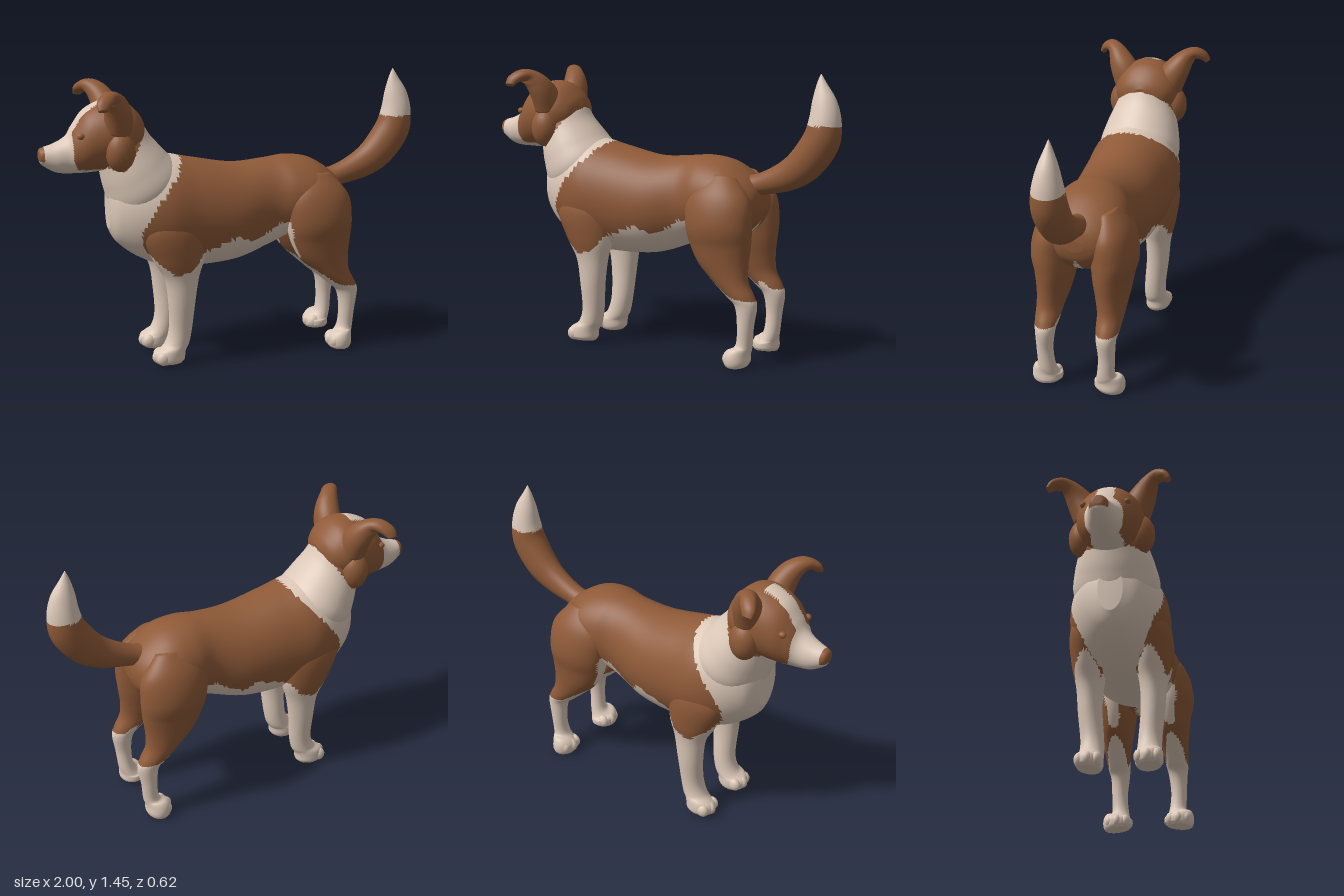
import * as THREE from 'three';

const brown = new THREE.MeshStandardMaterial({ color: 0x8f5a38 });
brown.name = 'brown coat';
const cream = new THREE.MeshStandardMaterial({ color: 0xdcc8b8 });
cream.name = 'cream coat';

// Piecewise-linear lookup through [key, value] points
function lerpTable(points, k) {
  if (k <= points[0][0]) return points[0][1];
  for (let i = 1; i < points.length; i++) {
    const [a, va] = points[i - 1], [b, vb] = points[i];
    if (k <= b) return va + (vb - va) * (k - a) / (b - a);
  }
  return points[points.length - 1][1];
}

// Smooth interpolation of section rows
function smoothRows(rows, steps) {
  const out = [];
  for (let i = 0; i < rows.length - 1; i++) {
    const p0 = rows[Math.max(i - 1, 0)], p1 = rows[i], p2 = rows[i + 1], p3 = rows[Math.min(i + 2, rows.length - 1)];
    for (let s = 0; s < steps; s++) {
      const t = s / steps;
      out.push(p1.map((b, k) => b + 0.5 * t * (p2[k] - p0[k] +
        t * (2 * p0[k] - 5 * b + 4 * p2[k] - p3[k] + t * (3 * (b - p2[k]) + p3[k] - p0[k])))));
    }
  }
  out.push(rows[rows.length - 1]);
  return out;
}

// Loft of elliptical sections [x, y, z, radiusU, radiusV, tilt of U in degrees]; isBrown picks the coat colour
function loft(name, rows, isBrown, steps = 7, sides = 40) {
  const rings = smoothRows(rows, steps);
  const centre = rings.map(r => new THREE.Vector3(r[0], r[1], r[2]));
  const pos = [];
  rings.forEach((r, i) => {
    const tangent = centre[Math.min(i + 1, rings.length - 1)].clone().sub(centre[Math.max(i - 1, 0)]);
    const a = r[5] * Math.PI / 180;
    const u = new THREE.Vector3(Math.cos(a), Math.sin(a), 0);
    const v = tangent.cross(u).normalize();
    for (let j = 0; j < sides; j++) {
      const q = j / sides * Math.PI * 2;
      const p = centre[i].clone().addScaledVector(u, Math.max(r[3], 0.002) * Math.cos(q))
        .addScaledVector(v, Math.max(r[4], 0.002) * Math.sin(q));
      pos.push(p.x, p.y, p.z);
    }
  });
  const first = pos.length / 3, last = first + 1, n = rings.length - 1;
  pos.push(...centre[0].toArray(), ...centre[n].toArray());
  const lists = [[], []];
  const tri = (...t) => {
    const m = [0, 1, 2].map(k => (pos[t[0] * 3 + k] + pos[t[1] * 3 + k] + pos[t[2] * 3 + k]) / 3);
    lists[isBrown(...m) ? 0 : 1].push(...t);
  };
  for (let j = 0; j < sides; j++) {
    const k = (j + 1) % sides;
    tri(first, k, j);
    for (let i = 0; i < n; i++) {
      const a = i * sides, b = a + sides;
      tri(a + j, a + k, b + k);
      tri(a + j, b + k, b + j);
    }
    tri(last, n * sides + j, n * sides + k);
  }
  const g = new THREE.BufferGeometry();
  g.setAttribute('position', new THREE.Float32BufferAttribute(pos, 3));
  g.setIndex(lists[0].concat(lists[1]));
  g.addGroup(0, lists[0].length, 0);
  g.addGroup(lists[0].length, lists[1].length, 1);
  g.computeVertexNormals();
  const mesh = new THREE.Mesh(g, [brown, cream]);
  mesh.name = name;
  return mesh;
}

function ball(name, material, x, y, z, rx, ry, rz) {
  const mesh = new THREE.Mesh(new THREE.SphereGeometry(1, 20, 14), material);
  mesh.position.set(x, y, z);
  mesh.scale.set(rx, ry, rz);
  mesh.name = name;
  return mesh;
}

// Section helpers: upright slices along x, level slices along y
const upright = ([x, bottom, top, half]) => [x, (bottom + top) / 2, 0, (top - bottom) / 2, half, 90];
const level = side => ([y, x0, x1, z0, z1]) => [(x0 + x1) / 2, y, side * (z0 + z1) / 2, (x1 - x0) / 2, (z1 - z0) / 2, 0];

// Coat markings: cream chest, belly, inner legs and lower legs
const chestEdge = [[0.5, -0.38], [0.55, -0.45], [0.62, -0.51], [0.7, -0.53], [0.8, -0.49], [0.87, -0.44], [0.95, -0.37], [1.06, -0.28]];
const bellyEdge = [[-0.45, 0.5], [-0.35, 0.48], [-0.27, 0.51], [-0.22, 0.58], [-0.12, 0.62], [-0.03, 0.66], [0.05, 0.61],
  [0.15, 0.66], [0.2, 0.7], [0.26, 0.7], [0.28, 0.6], [0.33, 0.48], [0.45, 0.4], [0.52, 0.35], [0.65, 0.33]];
const bodyBrown = (x, y, z) => x > lerpTable(chestEdge, y) && y > lerpTable(bellyEdge, x) &&
  Math.abs(z) > (0.72 - y) * (x < 0 ? 0.4 : 0.28);
const neckBrown = (x, y, z) => (y > 1.03 && x < -0.46 + (y - 1.24) * 0.66) || bodyBrown(x, y, z);
const headBrown = (x, y, z) => {
  if (x < -0.972) return y > 1.07;
  const blaze = y > 1.15 && x < -0.65 && Math.abs(z) < 0.045;
  return x > -0.84 + Math.max(0, 1.08 - y) * 0.4 && y > 1.025 && !blaze;
};

export function createModel() {
  const dog = new THREE.Group();
  dog.name = 'dog';

  dog.add(loft('torso', [
    [-0.66, 0.7, 0.93, 0.06], [-0.62, 0.63, 1.0, 0.14], [-0.52, 0.55, 1.05, 0.21], [-0.38, 0.49, 1.07, 0.25],
    [-0.22, 0.475, 1.04, 0.24], [0, 0.49, 1.0, 0.225], [0.18, 0.55, 1.01, 0.19], [0.3, 0.6, 1.02, 0.21],
    [0.42, 0.6, 1.0, 0.22], [0.52, 0.64, 0.94, 0.19], [0.58, 0.7, 0.88, 0.12], [0.6, 0.76, 0.82, 0.05]
  ].map(upright), bodyBrown, 9, 56));

  dog.add(loft('neck', [
    [-0.4, 0.8, 0, 0.14, 0.16, 30], [-0.46, 0.9, 0, 0.2, 0.215, 30], [-0.52, 1.0, 0, 0.18, 0.2, 30],
    [-0.57, 1.1, 0, 0.15, 0.165, 30], [-0.61, 1.2, 0, 0.13, 0.13, 30], [-0.63, 1.27, 0, 0.06, 0.08, 30]
  ], neckBrown, 9));

  dog.add(loft('head', [
    [-1.0, 1.08, 1.12, 0.022], [-0.985, 1.05, 1.135, 0.042], [-0.92, 1.01, 1.155, 0.065], [-0.86, 1.0, 1.19, 0.082],
    [-0.82, 1.0, 1.25, 0.11], [-0.76, 1.0, 1.32, 0.145], [-0.66, 1.01, 1.36, 0.17], [-0.57, 1.04, 1.35, 0.17],
    [-0.5, 1.1, 1.29, 0.12], [-0.47, 1.16, 1.24, 0.04]
  ].map(upright), headBrown, 9, 56));

  dog.add(loft('tail', [
    [0.48, 0.87, 0, 0.06, 0.06, 100], [0.58, 0.89, 0, 0.055, 0.055, 105], [0.72, 0.94, 0, 0.075, 0.065, 115],
    [0.82, 1.01, 0, 0.09, 0.08, 130], [0.9, 1.12, 0, 0.092, 0.085, 155], [0.92, 1.22, 0, 0.08, 0.075, 175],
    [0.915, 1.32, 0, 0.06, 0.05, 180], [0.9, 1.4, 0, 0.025, 0.02, 180], [0.895, 1.445, 0, 0.002, 0.002, 180]
  ], (x, y) => y < 1.2));

  for (const side of [1, -1]) {
    const label = side > 0 ? 'left' : 'right';

    dog.add(loft(label + ' front leg', [
      [0.84, -0.46, -0.24, 0.08, 0.2], [0.7, -0.52, -0.2, 0.06, 0.25], [0.56, -0.47, -0.2, 0.07, 0.245],
      [0.45, -0.41, -0.23, 0.09, 0.225], [0.32, -0.39, -0.25, 0.095, 0.215], [0.18, -0.385, -0.265, 0.085, 0.2],
      [0.1, -0.41, -0.28, 0.08, 0.2], [0.06, -0.46, -0.3, 0.077, 0.21], [0.02, -0.465, -0.305, 0.077, 0.21],
      [0, -0.45, -0.32, 0.09, 0.2]
    ].map(level(side)), bodyBrown));

    dog.add(loft(label + ' hind leg', [
      [0.93, 0.34, 0.5, 0.06, 0.16], [0.82, 0.25, 0.59, 0.04, 0.24], [0.7, 0.25, 0.605, 0.04, 0.27],
      [0.6, 0.27, 0.6, 0.05, 0.252], [0.5, 0.32, 0.59, 0.07, 0.238], [0.42, 0.4, 0.595, 0.09, 0.228],
      [0.35, 0.48, 0.63, 0.1, 0.22], [0.3, 0.53, 0.645, 0.11, 0.21], [0.2, 0.545, 0.63, 0.12, 0.205],
      [0.1, 0.535, 0.62, 0.11, 0.205], [0.06, 0.485, 0.61, 0.088, 0.24], [0.02, 0.48, 0.61, 0.088, 0.245],
      [0, 0.49, 0.6, 0.1, 0.23]
    ].map(level(side)), bodyBrown));

    // Toes at the front of each paw
    for (const [x, z] of [[-0.44, 0.143], [0.505, 0.165]]) {
      for (const k of [-1, 0, 1]) {
        dog.add(ball(label + ' toe', cream, x + Math.abs(k) * 0.015, 0.036, side * (z + k * 0.042), 0.035, 0.036, 0.026));
      }
    }

    // Folded ear
    dog.add(loft(label + ' ear', [
      [-0.62, 1.24, 0.11, 0.075, 0.085, 0], [-0.63, 1.32, 0.155, 0.068, 0.07, 0], [-0.655, 1.375, 0.195, 0.06, 0.05, 0],
      [-0.69, 1.398, 0.235, 0.05, 0.034, 0], [-0.72, 1.382, 0.275, 0.042, 0.024, 0], [-0.735, 1.35, 0.3, 0.025, 0.014, 0]
    ].map(r => [r[0], r[1], r[2] * side, r[3], r[4], r[5]]), () => true));

    dog.add(ball(label + ' cheek ruff', brown, -0.62, 1.12, side * 0.145, 0.075, 0.1, 0.07));
    dog.add(ball(label + ' eye', brown, -0.805, 1.2, side * 0.108, 0.02, 0.016, 0.016));
  }
  return dog;
}
